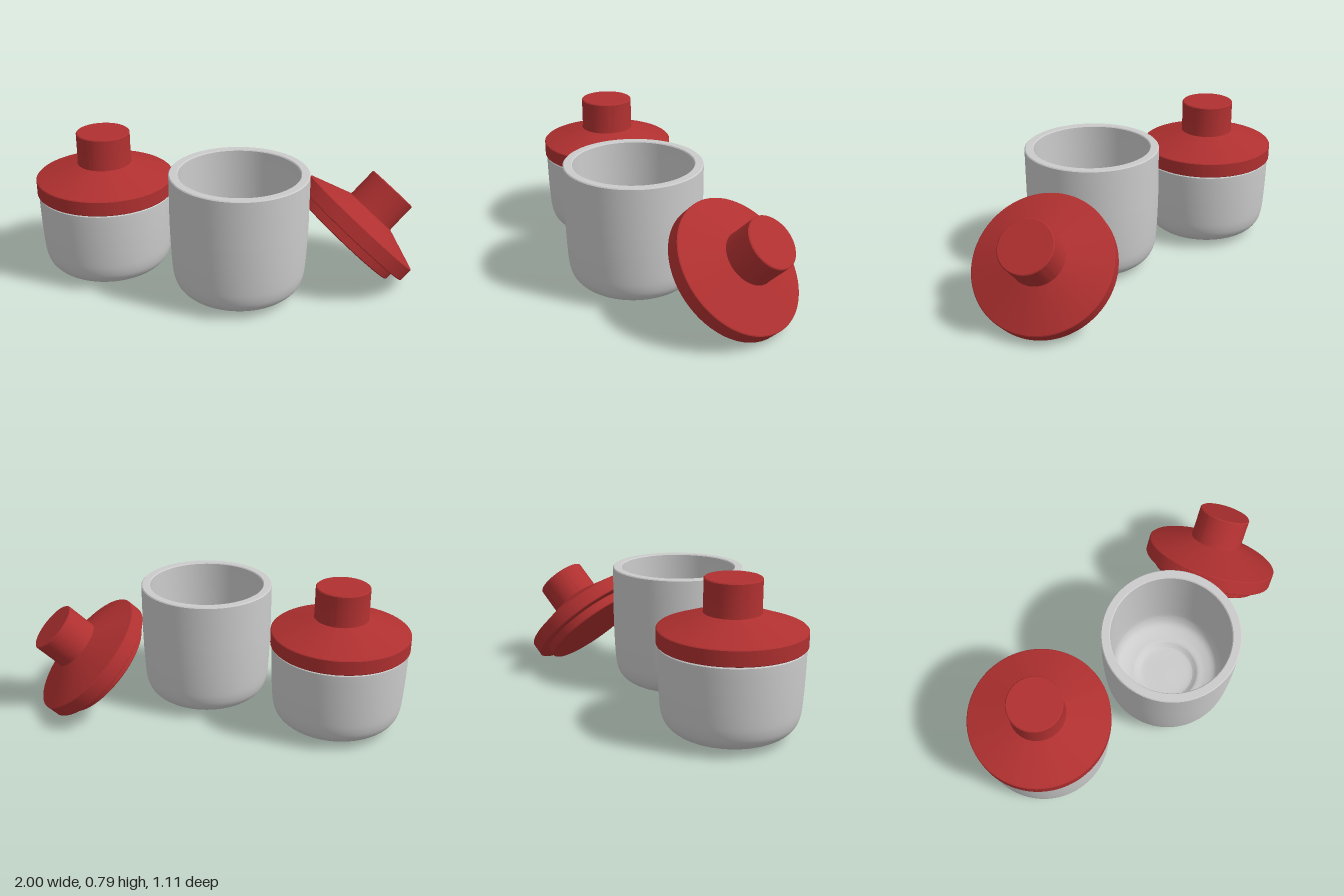
import * as THREE from 'three';
import { toCreasedNormals } from 'three/addons/utils/BufferGeometryUtils.js';

const SEGMENTS = 96;
const grey = new THREE.MeshStandardMaterial({ color: 0xcccccc });
const red = new THREE.MeshStandardMaterial({ color: 0xb03030 });

const vectors = (pairs) => pairs.map(([r, y]) => new THREE.Vector2(r, y));
const curve = (pairs, n) => new THREE.SplineCurve(vectors(pairs)).getPoints(n);

// Turned part with smooth curves and sharp edges
function turned(name, profile, material) {
  const geometry = toCreasedNormals(new THREE.LatheGeometry(profile, SEGMENTS), 0.27);
  const mesh = new THREE.Mesh(geometry, material);
  mesh.name = name;
  return mesh;
}

// Hollow jar: flat foot, rounded base, thick wall and a dished floor
function makeJar(name, height) {
  const profile = [
    ...vectors([[0, 0]]),
    ...curve([[0.19, 0], [0.25, 0.018], [0.295, 0.04], [0.328, 0.075],
      [0.344, 0.12], [0.351, 0.18], [0.357, 0.3], [0.36, 0.42]], 28),
    ...vectors([[0.36, height - 0.005], [0.355, height], [0.317, height], [0.312, height - 0.005]]),
    ...curve([[0.31, 0.4], [0.305, 0.2], [0.295, 0.14], [0.27, 0.1], [0.22, 0.078],
      [0.18, 0.07], [0.16, 0.055], [0.13, 0.045], [0, 0.045]], 32),
  ];
  return turned(name, profile, grey);
}

// Lid: plug below, straight rim, conical top and cylindrical knob; y = 0 is the rim's underside
function makeLid(name) {
  const lid = new THREE.Group();
  lid.name = name;
  const cover = turned('lidCover', vectors([
    [0, -0.05], [0.303, -0.05], [0.308, -0.045], [0.308, 0], [0.364, 0], [0.368, 0.004],
    [0.368, 0.077], [0.364, 0.081], [0.145, 0.157], [0, 0.157],
  ]), red);
  const knob = turned('lidKnob', vectors([
    [0.145, 0.15], [0.142, 0.17], [0.142, 0.322], [0.137, 0.327], [0, 0.327],
  ]), red);
  lid.add(cover, knob);
  return lid;
}

export function createModel() {
  const model = new THREE.Group();
  model.name = 'jarSet';

  // Short closed jar
  const shortJar = makeJar('shortJar', 0.457);
  shortJar.position.set(-0.632, 0, 0.185);
  const closedLid = makeLid('closedLid');
  closedLid.position.set(-0.632, 0.461, 0.185);

  // Tall open jar
  const tallJar = makeJar('tallJar', 0.678);
  tallJar.position.set(0.15, 0, 0.185);

  // Loose lid resting on its rim against the tall jar
  const looseLid = makeLid('looseLid');
  const axis = new THREE.Vector3(0.556, 0.71, -0.435).normalize();
  looseLid.quaternion.setFromUnitVectors(new THREE.Vector3(0, 1, 0), axis);
  looseLid.position.set(0.65, 0.26, -0.19);

  model.add(shortJar, closedLid, tallJar, looseLid);
  return model;
}
